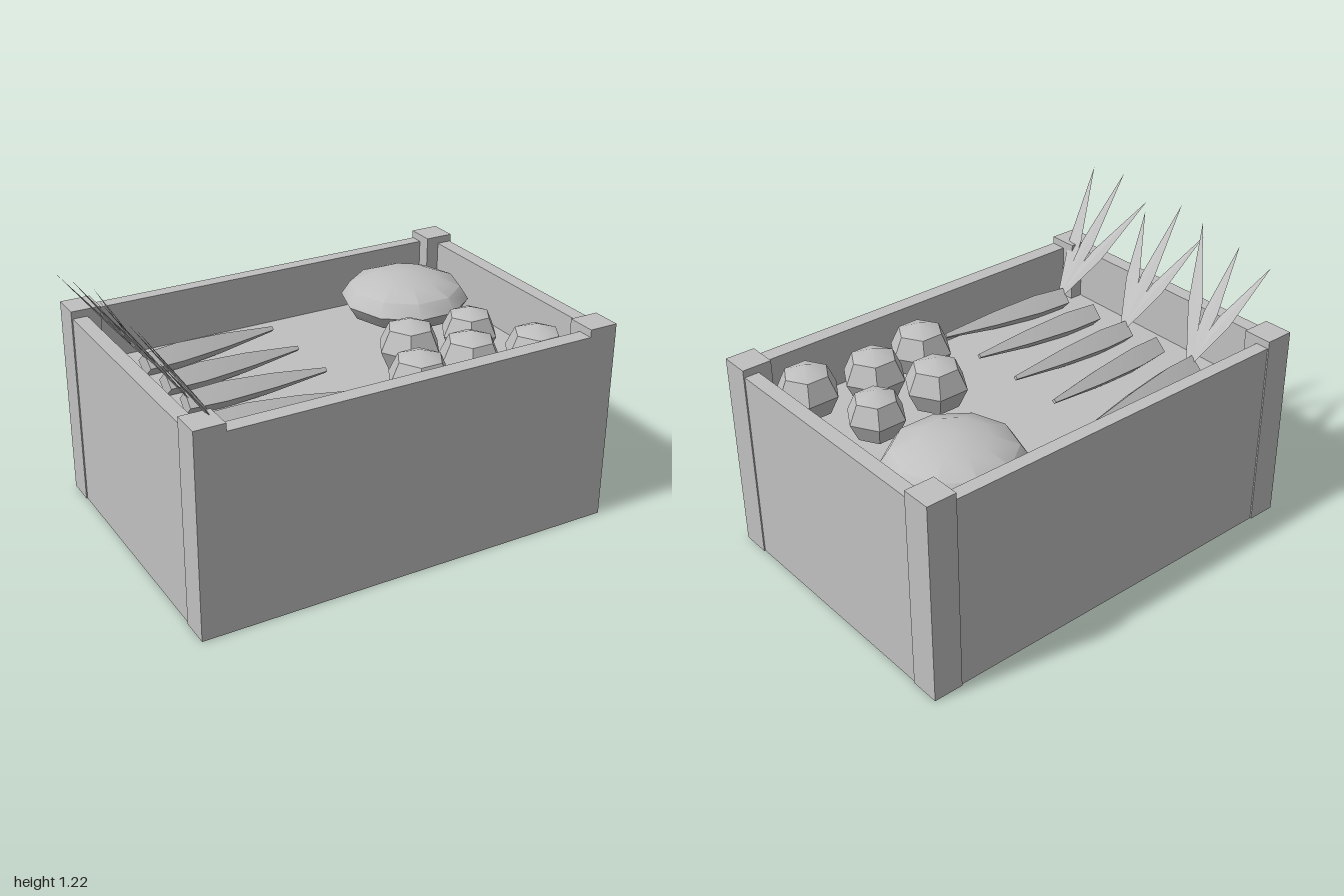
import * as THREE from 'three';
import { toCreasedNormals } from 'three/addons/utils/BufferGeometryUtils.js';

const grey = new THREE.MeshStandardMaterial({ color: 0xc0c0c0 });
grey.name = 'plain grey';

const FLOOR = 0.62;   // level of the filling inside the crate
const MID = 0.055;    // crate centre in x

export function createModel() {
  const model = new THREE.Group();
  model.name = 'vegetableCrate';

  const add = (parent, name, geometry, x = 0, y = 0, z = 0) => {
    const mesh = new THREE.Mesh(geometry, grey);
    mesh.name = name;
    mesh.position.set(x, y, z);
    parent.add(mesh);
    return mesh;
  };
  const box = (parent, name, w, h, d, x, z) =>
    add(parent, name, new THREE.BoxGeometry(w, h, d), x, h / 2, z);

  // Crate: four posts, walls set slightly behind the post faces, raised floor
  const crate = new THREE.Group();
  crate.name = 'crate';
  model.add(crate);
  for (const sx of [-1, 1]) {
    for (const sz of [-1, 1]) {
      box(crate, 'cornerPost', 0.13, 0.895, 0.13, MID + sx * 0.88, sz * 0.6);
    }
    box(crate, 'sideWall', 0.065, 0.862, 1.08, MID + sx * 0.907, 0);
  }
  box(crate, 'frontWall', 1.64, 0.862, 0.07, MID, 0.63);
  box(crate, 'backWall', 1.64, 0.862, 0.06, MID, -0.629);
  box(crate, 'floor', 1.77, FLOOR, 1.21, MID, 0);

  // Round vegetables resting on the floor
  const roundVegetable = (name, r, b, sides, rings, x, z) => {
    const g = new THREE.SphereGeometry(r, sides, rings);
    g.scale(1, b / r, 1);
    add(model, name, toCreasedNormals(g, 0.7), x, FLOOR + b, z);
  };
  roundVegetable('pumpkin', 0.287, 0.119, 10, 6, 0.61, -0.32);
  const beets = [
    [0.33, 0.16, 0.139], [0.645, 0.14, 0.128], [0.2, 0.437, 0.139],
    [0.48, 0.385, 0.139], [0.76, 0.457, 0.138],
  ];
  for (const [x, z, r] of beets) roundVegetable('beet', r, r * 0.9, 6, 4, x, z);

  // Four-sided tapering solid along +y, from [radius, height] pairs
  const spike = (profile) => toCreasedNormals(
    new THREE.LatheGeometry(profile.map(([r, y]) => new THREE.Vector2(r, y)), 4), 0.4);

  // Orients a mesh so y follows dir and z stays close to the given normal
  const orient = (mesh, dir, normal) => {
    const y = dir.clone().normalize();
    const x = new THREE.Vector3().crossVectors(y, normal).normalize();
    const z = new THREE.Vector3().crossVectors(x, y);
    mesh.quaternion.setFromRotationMatrix(new THREE.Matrix4().makeBasis(x, y, z));
  };

  // Carrots: [z of the crown, z of the tip]
  const carrots = [[-0.342, -0.41], [-0.13, -0.175], [0.064, 0.07], [0.272, 0.313], [0.48, 0.55]];
  for (const [z0, z1] of carrots) {
    const dir = new THREE.Vector3(0.635, 0, z1 - z0);
    const len = dir.length();
    const g = spike([[0, 0], [0.053, 0], [0.061, len * 0.25], [0.045, len * 0.6], [0.012, len], [0, len]]);
    orient(add(model, 'carrot', g, -0.655, 0.678, z0), dir, new THREE.Vector3(0, 1, 0));
  }

  // Leaf bunches on every second carrot: crown z, then the three tips
  const bunches = [
    [-0.342, [[-0.96, 1.10, -0.478], [-0.957, 1.135, -0.3], [-0.945, 1.175, -0.093]]],
    [0.064, [[-0.945, 1.115, -0.105], [-0.985, 1.19, 0.073], [-0.945, 1.11, 0.255]]],
    [0.48, [[-0.947, 1.16, 0.25], [-0.99, 1.22, 0.445], [-1, 1.185, 0.653]]],
  ];
  for (const [z, tips] of bunches) {
    const bunch = new THREE.Group();
    bunch.name = 'leafBunch';
    model.add(bunch);
    const crown = new THREE.Vector3(-0.645, 0.705, z);
    for (const tip of tips) {
      const dir = new THREE.Vector3(...tip).sub(crown);
      const len = dir.length();
      const g = spike([[0, 0], [0.018, 0], [0.036, len * 0.42], [0, len]]);
      g.scale(1, 1, 0.14);
      g.computeVertexNormals();
      orient(add(bunch, 'leaf', g, ...crown.toArray()), dir, new THREE.Vector3(0.8, 0.57, 0));
    }
  }
  return model;
}
